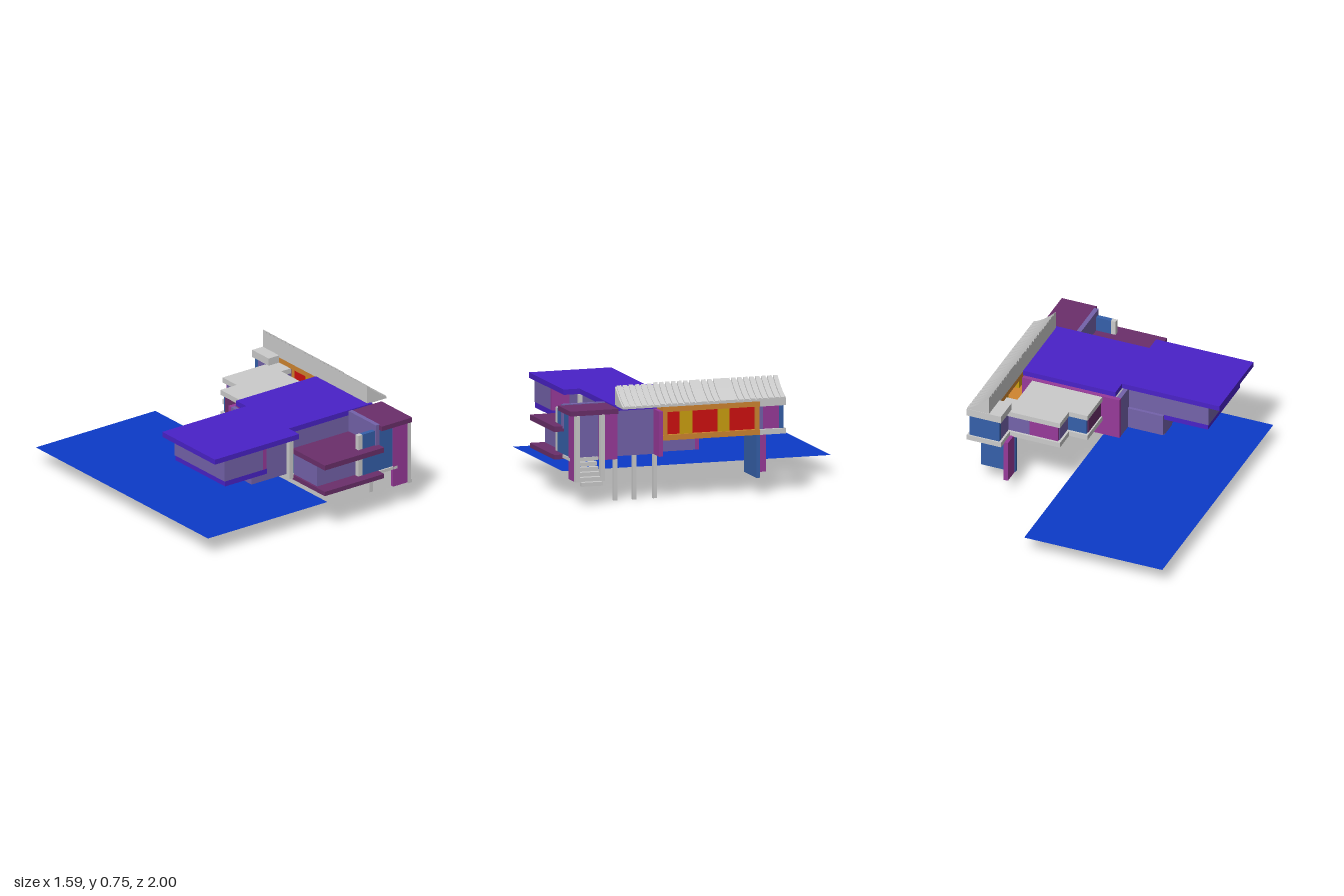
import * as THREE from 'three';

const mat = (color) => new THREE.MeshStandardMaterial({ color, flatShading: true });
const grey = mat(0xcccccc), lilac = mat(0x7463ab), blue = mat(0x3560aa), magenta = mat(0x983a9a);
const plum = mat(0x6b2f6b), violet = mat(0x4a22c8), red = mat(0xd01010), orange = mat(0xd08530), yellow = mat(0xcca010);

export function createModel() {
  const house = new THREE.Group();
  house.name = 'house';

  // Box given by its limits on each axis
  const box = (name, m, x0, x1, y0, y1, z0, z1) => {
    const mesh = new THREE.Mesh(new THREE.BoxGeometry(x1 - x0, y1 - y0, z1 - z0), m);
    mesh.position.set((x0 + x1) / 2, (y0 + y1) / 2, (z0 + z1) / 2);
    mesh.name = name;
    house.add(mesh);
    return mesh;
  };
  // Flat slab from a plan outline of [x, z] points
  const slab = (name, m, pts, y0, y1) => {
    const shape = new THREE.Shape(pts.map(([x, z]) => new THREE.Vector2(x, -z)));
    const geo = new THREE.ExtrudeGeometry(shape, { depth: y1 - y0, bevelEnabled: false });
    geo.rotateX(-Math.PI / 2).translate(0, y0, 0);
    const mesh = new THREE.Mesh(geo, m);
    mesh.name = name;
    house.add(mesh);
  };

  // Water sheet
  const waterMat = mat(0x0c3ac8);
  waterMat.side = THREE.DoubleSide;
  const water = new THREE.Mesh(new THREE.PlaneGeometry(0.965, 1.83).rotateX(-Math.PI / 2), waterMat);
  water.position.set(-0.317, 0.12, -0.085);
  water.name = 'water';
  house.add(water);

  // Main roof
  slab('mainRoof', violet, [[-0.69, 0.2], [-0.01, 0.2], [-0.01, 0.09], [0.665, 0.09], [0.665, 0.65],
    [-0.01, 0.65], [-0.01, 0.76], [-0.69, 0.76]], 0.585, 0.62);

  // Left wing, hollow upper storey on a slab
  box('wingFloor', violet, -0.6, -0.26, 0.405, 0.44, 0.22, 0.75);
  box('wingFrontWall', lilac, -0.605, -0.295, 0.44, 0.585, 0.72, 0.75);
  box('wingLeftWall', lilac, -0.605, -0.575, 0.44, 0.585, 0.24, 0.75);
  box('wingBackWall', lilac, -0.605, -0.05, 0.44, 0.585, 0.22, 0.25);
  box('wingReturnWall', magenta, -0.295, -0.265, 0.44, 0.585, 0.62, 0.75);
  box('recessWall', lilac, -0.29, 0, 0.295, 0.585, 0.605, 0.63);
  box('lowerLeftWall', lilac, -0.295, -0.265, 0.295, 0.41, 0.2, 0.63);
  box('lowerBackWall', lilac, -0.295, -0.03, 0.295, 0.44, 0.2, 0.23);
  box('wallFoot', lilac, -0.29, -0.26, 0.275, 0.296, 0.24, 0.36);

  // Main house walls
  box('frontWall', lilac, 0, 0.64, 0.44, 0.585, 0.61, 0.64);
  box('lowerFrontWall', blue, 0.01, 0.5, 0.29, 0.44, 0.61, 0.64);
  box('backWall', magenta, -0.05, 0.63, 0.295, 0.585, 0.062, 0.09);
  box('backReturnWall', lilac, -0.05, -0.02, 0.295, 0.585, 0.09, 0.23);
  box('rightWall', lilac, 0.635, 0.665, 0.29, 0.585, 0.385, 0.63);
  box('lowerRightWall', lilac, 0.6, 0.63, 0.295, 0.395, 0.07, 0.37);
  box('rightFin', magenta, 0.635, 0.78, 0.29, 0.585, 0.36, 0.385);
  box('entrySideWall', magenta, 0.635, 0.665, 0.27, 0.585, 0.63, 0.75);
  box('cornerPost', grey, -0.015, 0.015, 0.27, 0.585, 0.635, 0.665);

  // Terrace and its enclosed lower room
  box('terraceTop', plum, 0.015, 0.495, 0.44, 0.475, 0.655, 1);
  box('terraceFloor', plum, 0.015, 0.495, 0.26, 0.29, 0.655, 1);
  box('roomFrontWall', lilac, 0.04, 0.34, 0.29, 0.44, 0.87, 0.9);
  box('roomLeftWall', lilac, 0.03, 0.06, 0.29, 0.44, 0.655, 0.9);
  box('terracePost', grey, 0.335, 0.368, 0.29, 0.575, 0.905, 0.935);
  box('terraceRightWall', lilac, 0.47, 0.5, 0.46, 0.617, 0.655, 0.945);
  box('terraceFrontWall', blue, 0.365, 0.61, 0.27, 0.575, 0.905, 0.935);

  // Entry with stairs
  box('entryRoof', plum, 0.495, 0.74, 0.58, 0.612, 0.65, 0.975);
  box('entryFloor', grey, 0.495, 0.645, 0.27, 0.29, 0.65, 0.945);
  box('entryPier', magenta, 0.61, 0.725, 0.15, 0.58, 0.92, 0.945);
  box('entryInnerWall', lilac, 0.61, 0.64, 0.29, 0.58, 0.75, 0.92);
  for (const z of [0.745, 0.915]) box('entryPost', grey, 0.725, 0.755, 0.15, 0.58, z, z + 0.03);
  for (let i = 0; i < 6; i++) {
    const x = 0.785 - i * 0.028, y = 0.125 + i * 0.028;
    box('stairStep', grey, x - 0.035, x, y, y + 0.026, 0.77, 0.915);
  }
  for (const z of [0.36, 0.5, 0.63]) box('stilt', grey, 0.64, 0.665, 0, 0.29, z, z + 0.025);

  // Coloured gallery along the right side
  box('gallerySill', orange, 0.635, 0.785, 0.395, 0.43, -0.3, 0.36);
  box('galleryLintel', orange, 0.635, 0.785, 0.58, 0.615, -0.3, 0.36);
  box('galleryPanel', red, 0.735, 0.76, 0.43, 0.58, -0.27, 0.33);
  for (const z of [-0.3, 0.33]) box('galleryPost', orange, 0.735, 0.78, 0.43, 0.58, z, z + 0.03);
  for (const [a, b] of [[-0.095, -0.02], [0.155, 0.24]]) box('galleryBay', yellow, 0.69, 0.775, 0.43, 0.58, a, b);

  // Back wing: stepped slabs with walls between them
  const plan = [[0.07, 0.09], [0.07, -0.18], [0.2, -0.18], [0.2, -0.33], [0.64, -0.33], [0.64, -0.18], [0.56, -0.18], [0.56, 0.09]];
  slab('backWingRoof', grey, plan, 0.545, 0.58);
  slab('backWingFloor', grey, plan, 0.395, 0.43);
  box('cornerRoof', grey, 0.55, 0.79, 0.58, 0.63, -0.475, -0.3);
  box('cornerFloor', grey, 0.55, 0.79, 0.395, 0.43, -0.475, -0.3);
  box('cornerBackWall', blue, 0.565, 0.775, 0.43, 0.58, -0.465, -0.435);
  box('cornerRightWall', magenta, 0.74, 0.77, 0.43, 0.58, -0.435, -0.325);
  box('cornerLeftWall', lilac, 0.565, 0.59, 0.43, 0.58, -0.44, -0.3);
  box('cornerInnerWall', lilac, 0.6, 0.775, 0.43, 0.58, -0.325, -0.3);
  box('backWingRearWall', lilac, 0.42, 0.57, 0.43, 0.55, -0.315, -0.285);
  box('backWingRearPanel', magenta, 0.22, 0.42, 0.43, 0.55, -0.315, -0.285);
  box('backWingSideWall', lilac, 0.215, 0.24, 0.43, 0.55, -0.3, -0.165);
  box('backWingStepWall', blue, 0.085, 0.235, 0.43, 0.55, -0.165, -0.14);
  box('backWingLeftWall', plum, 0.08, 0.105, 0.43, 0.55, -0.145, 0.07);
  box('backWingInnerWall', lilac, 0.53, 0.555, 0.43, 0.55, -0.2, 0.07);
  box('supportPierWide', blue, 0.52, 0.76, 0.11, 0.4, -0.31, -0.285);
  box('supportPierSide', magenta, 0.525, 0.555, 0.11, 0.4, -0.42, -0.31);

  // Curved sloping canopy with slats
  const slope = (name, drop, z0, z1) => {
    const s = new THREE.Shape();
    s.moveTo(0.635, 0.615);
    s.lineTo(0.79, 0.615);
    s.lineTo(0.79, 0.635 - drop / 2);
    s.quadraticCurveTo(0.71, 0.67 - drop, 0.635, 0.752 - drop);
    const geo = new THREE.ExtrudeGeometry(s, { depth: z1 - z0, bevelEnabled: false, curveSegments: 8 });
    const mesh = new THREE.Mesh(geo, grey);
    mesh.position.z = z0;
    mesh.name = name;
    house.add(mesh);
  };
  slope('canopyBody', 0.014, -0.472, 0.635);
  const pitch = 0.041;
  for (let i = 0; i < 27; i++) {
    const z = -0.472 + i * pitch;
    const wide = i === 8 || i === 9 || i === 13; // plain stretches without a gap
    slope('canopySlat', i > 20 ? 0.006 : 0, z, z + (wide ? pitch : 0.03));
  }
  return house;
}
